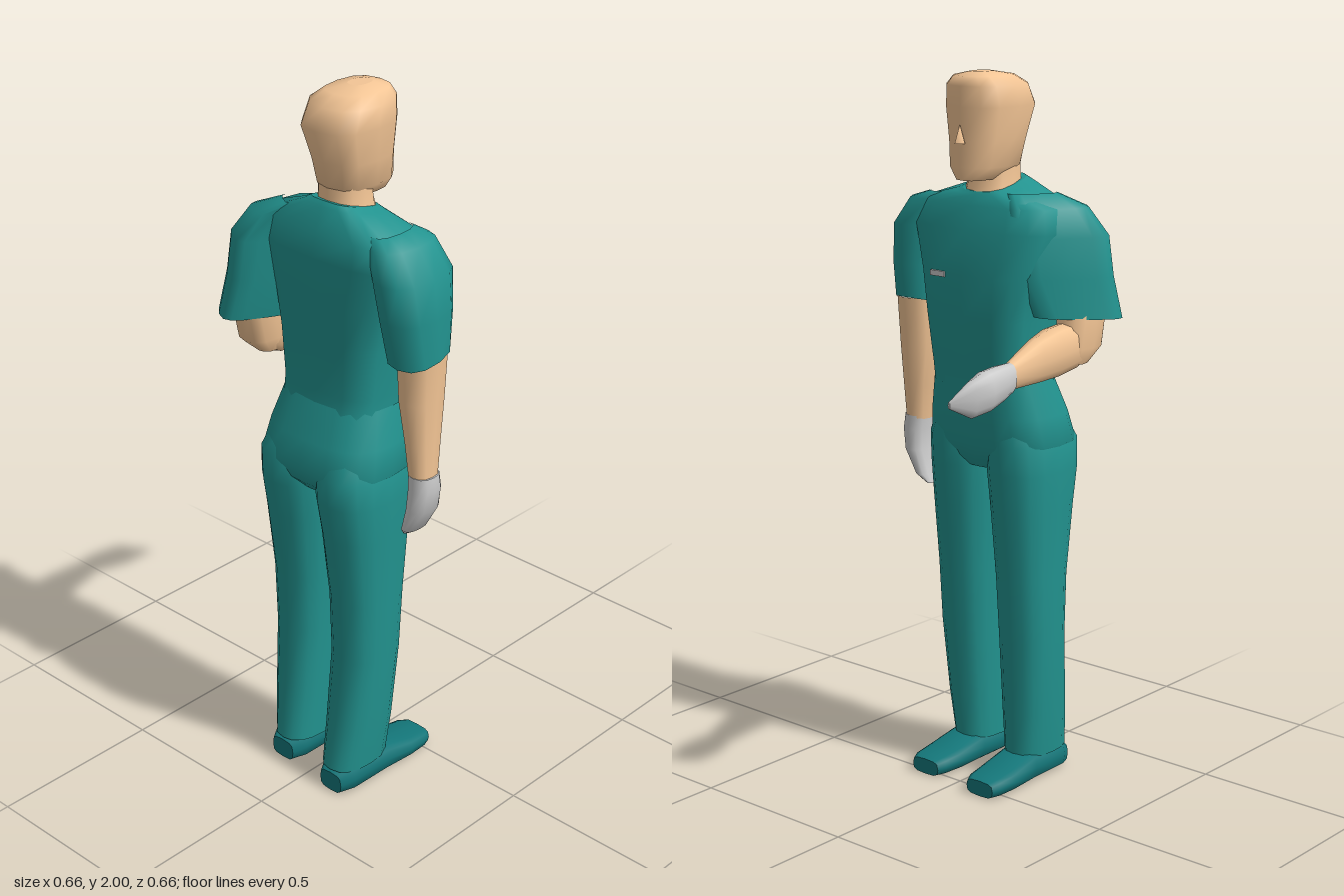
import * as THREE from 'three';

const TEAL = 0x22938f, SHOE = 0x14777a, SKIN = 0xf3c595, GREY = 0xcccccc;

// Skin over rounded cross-sections. Each ring is [position, a0, a1, z0, z1, slope]:
// along 'y' the a-limits are in x, along 'x' they are in y. Rings run upwards / forwards.
// yaw turns the cross-sections of an upright part about their own centres;
// caps says whether the first and the last ring are closed.
function loft(name, color, axis, rings, { sides = 12, power = 2.4, yaw = 0, caps = [true, true] } = {}) {
  const pos = [], idx = [];
  const round = (c) => Math.sign(c) * Math.abs(c) ** (2 / power);
  const cos = Math.cos(yaw), sin = Math.sin(yaw);
  const put = (t, a, z) => (axis === 'y' ? pos.push(a, t, z) : pos.push(t, a, z));
  const ringPoints = ([t, a0, a1, z0, z1, slope = 0]) => {
    for (let j = 0; j < sides; j++) {
      const w = (j / sides) * Math.PI * 2;
      const ca = round(axis === 'y' ? Math.sin(w) : Math.cos(w));
      const cz = round(axis === 'y' ? Math.cos(w) : Math.sin(w));
      const da = (ca * (a1 - a0)) / 2, dz = (cz * (z1 - z0)) / 2;
      put(t + slope * da, (a0 + a1) / 2 + da * cos - dz * sin, (z0 + z1) / 2 + da * sin + dz * cos);
    }
  };
  rings.forEach(ringPoints);
  for (let i = 0; i < rings.length - 1; i++) {
    for (let j = 0; j < sides; j++) {
      const k = (j + 1) % sides, p = i * sides, q = p + sides;
      idx.push(p + j, p + k, q + k, p + j, q + k, q + j);
    }
  }
  // End caps with their own vertices, so the rims stay crisp
  [rings[0], rings[rings.length - 1]].forEach((r, end) => {
    if (!caps[end]) return;
    const base = pos.length / 3;
    ringPoints(r);
    put(r[0], (r[1] + r[2]) / 2, (r[3] + r[4]) / 2);
    for (let j = 0; j < sides; j++) {
      const k = (j + 1) % sides;
      if (end) idx.push(base + sides, base + j, base + k);
      else idx.push(base + sides, base + k, base + j);
    }
  });
  const geo = new THREE.BufferGeometry();
  geo.setAttribute('position', new THREE.Float32BufferAttribute(pos, 3));
  geo.setIndex(idx);
  geo.computeVertexNormals();
  return part(name, geo, color);
}

function part(name, geo, color) {
  const mesh = new THREE.Mesh(geo, new THREE.MeshStandardMaterial({ color }));
  mesh.name = name;
  return mesh;
}

export function createModel() {
  const model = new THREE.Group();
  model.name = 'standingFigure';

  // Head, neck and nose; the figure looks along +x
  model.add(loft('neck', SKIN, 'y', [
    [1.66, -0.215, -0.06, -0.08, 0.08],
    [1.70, -0.21, -0.07, -0.07, 0.07],
    [1.76, -0.205, -0.08, -0.068, 0.068],
  ], { caps: [false, false] }));
  model.add(loft('head', SKIN, 'y', [
    [1.715, -0.14, -0.008, -0.045, 0.045],
    [1.75, -0.208, 0.0, -0.077, 0.077],
    [1.82, -0.22, -0.005, -0.09, 0.09],
    [1.91, -0.25, 0.0, -0.104, 0.104],
    [1.965, -0.222, 0.0, -0.098, 0.098],
    [1.99, -0.18, -0.01, -0.07, 0.07],
    [2.0, -0.12, -0.05, -0.025, 0.025],
  ], { power: 2.6 }));
  const nose = part('nose', new THREE.ConeGeometry(0.022, 0.05, 4), SKIN);
  nose.scale.z = 0.8;
  nose.position.set(0.001, 1.84, 0);
  model.add(nose);

  // Shirt body and chest badge
  model.add(loft('shirt', TEAL, 'y', [
    [1.15, -0.268, -0.025, -0.165, 0.165],
    [1.20, -0.26, -0.02, -0.167, 0.167],
    [1.34, -0.262, -0.005, -0.18, 0.18],
    [1.46, -0.27, 0.0, -0.195, 0.195],
    [1.58, -0.272, -0.025, -0.24, 0.25],
    [1.645, -0.262, -0.045, -0.225, 0.24],
    [1.69, -0.23, -0.06, -0.1, 0.1, -0.2],
    [1.70, -0.22, -0.065, -0.075, 0.075, -0.25],
  ], { sides: 16, power: 3.2, caps: [false, true] }));
  const badge = part('chestBadge', new THREE.BoxGeometry(0.008, 0.015, 0.05), GREY);
  badge.position.set(-0.004, 1.457, 0.083);
  model.add(badge);

  // Sleeves: one hangs straight, the other is drawn back and turned
  model.add(loft('hangingSleeve', TEAL, 'y', [
    [1.345, -0.22, -0.055, 0.18, 0.325, 0.22],
    [1.46, -0.25, -0.04, 0.175, 0.324],
    [1.57, -0.27, -0.035, 0.17, 0.317],
    [1.645, -0.25, -0.05, 0.14, 0.262],
    [1.665, -0.22, -0.08, 0.13, 0.2],
  ], { caps: [true, false] }));
  model.add(loft('bentSleeve', TEAL, 'y', [
    [1.35, -0.338, -0.083, -0.295, -0.165, 0.05],
    [1.46, -0.325, -0.045, -0.272, -0.132],
    [1.57, -0.314, -0.034, -0.263, -0.123],
    [1.645, -0.275, -0.045, -0.225, -0.105],
    [1.68, -0.225, -0.085, -0.155, -0.075],
  ], { sides: 16, power: 3.3, yaw: 0.6, caps: [true, false] }));

  // Hanging arm and gloved hand
  model.add(loft('hangingArm', SKIN, 'y', [
    [1.0, -0.185, -0.105, 0.243, 0.312],
    [1.10, -0.19, -0.09, 0.23, 0.312],
    [1.22, -0.195, -0.07, 0.205, 0.312],
    [1.36, -0.2, -0.06, 0.2, 0.317],
  ], { caps: [false, false] }));
  model.add(loft('hangingGlove', GREY, 'y', [
    [0.815, -0.165, -0.12, 0.22, 0.235],
    [0.84, -0.19, -0.105, 0.227, 0.272],
    [0.91, -0.198, -0.098, 0.245, 0.312],
    [0.97, -0.192, -0.1, 0.245, 0.322],
    [1.01, -0.187, -0.103, 0.243, 0.317],
  ]));

  // Bent arm: elbow under the sleeve, forearm reaching forwards
  model.add(loft('elbow', SKIN, 'y', [
    [1.225, -0.23, -0.15, -0.275, -0.21],
    [1.27, -0.28, -0.13, -0.297, -0.19],
    [1.36, -0.3, -0.15, -0.295, -0.185],
  ], { caps: [true, false] }));
  model.add(loft('bentForearm', SKIN, 'x', [
    [-0.22, 1.23, 1.33, -0.27, -0.205],
    [-0.18, 1.21, 1.34, -0.285, -0.185],
    [-0.09, 1.20, 1.335, -0.293, -0.19],
    [0.0, 1.203, 1.322, -0.3, -0.22],
    [0.14, 1.212, 1.282, -0.31, -0.263],
  ], { caps: [false, false] }));
  model.add(loft('reachingGlove', GREY, 'x', [
    [0.135, 1.205, 1.285, -0.312, -0.26],
    [0.18, 1.19, 1.285, -0.323, -0.253],
    [0.235, 1.172, 1.28, -0.325, -0.25],
    [0.29, 1.165, 1.265, -0.312, -0.268],
    [0.333, 1.192, 1.21, -0.256, -0.248],
  ]));

  // Trousers: hips narrowing to the crotch, and two legs that run into them
  model.add(loft('trouserHips', TEAL, 'y', [
    [0.915, -0.285, -0.075, -0.07, 0.07],
    [0.945, -0.312, -0.055, -0.17, 0.17],
    [0.99, -0.33, -0.037, -0.207, 0.206],
    [1.07, -0.306, -0.03, -0.193, 0.193],
    [1.17, -0.264, -0.022, -0.168, 0.168],
  ], { sides: 20, power: 2.8, caps: [true, false] }));
  for (const [side, s, dx] of [['right', 1, 0], ['left', -1, 0.02]]) {
    const mirror = (z0, z1) => (s > 0 ? [z0, z1] : [-z1, -z0]);
    const leg = [
      [0.07, -0.33, -0.13, 0.035, 0.168],
      [0.20, -0.312, -0.118, 0.032, 0.182],
      [0.42, -0.285, -0.1, 0.028, 0.195],
      [0.60, -0.288, -0.085, 0.022, 0.197],
      [0.80, -0.31, -0.062, 0.01, 0.203],
      [0.91, -0.326, -0.05, 0.0, 0.207],
      [0.99, -0.328, -0.042, 0.0, 0.203],
      [1.05, -0.295, -0.05, 0.01, 0.18],
    ].map(([y, x0, x1, z0, z1]) => {
      const d = dx * Math.max(0, 1 - y);
      return [y, x0 + d, x1 + d, ...mirror(z0, z1)];
    });
    model.add(loft(side + 'TrouserLeg', TEAL, 'y', leg, { sides: 16, caps: [true, false] }));

    // Flat-soled shoe with a blunt toe
    const shoe = [
      [-0.33, 0, 0.06, 0.065, 0.145],
      [-0.29, 0, 0.085, 0.045, 0.165],
      [-0.16, 0, 0.085, 0.043, 0.168],
      [-0.06, 0, 0.06, 0.045, 0.172],
      [0.0, 0, 0.052, 0.052, 0.168],
      [0.025, 0, 0.045, 0.063, 0.158],
    ].map(([x, y0, y1, z0, z1]) => [x + dx, y0, y1, ...mirror(z0, z1)]);
    model.add(loft(side + 'Shoe', SHOE, 'x', shoe, { power: 3.5 }));
  }
  return model;
}
